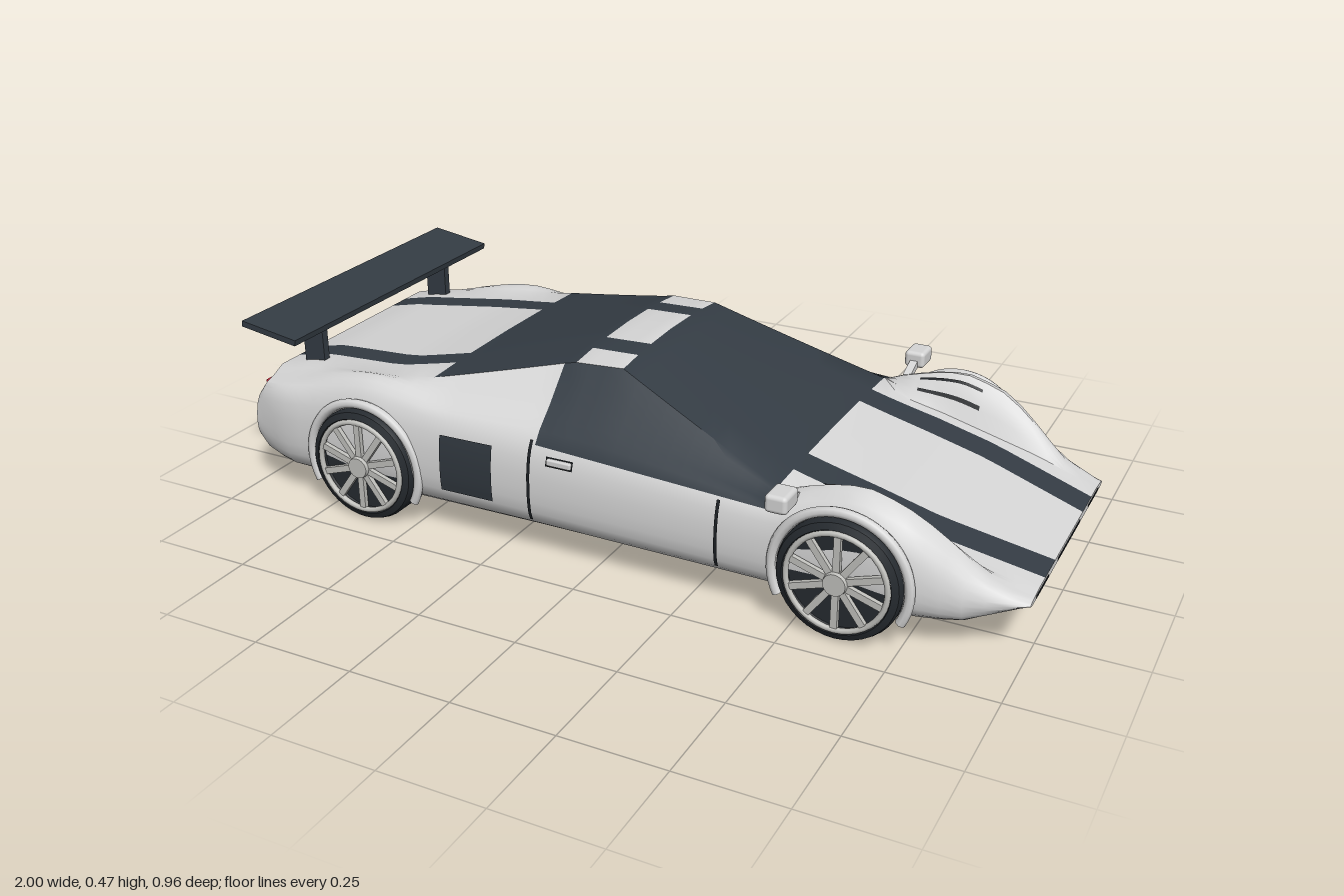
import * as THREE from 'three';
import { toCreasedNormals } from 'three/addons/utils/BufferGeometryUtils.js';
import { RoundedBoxGeometry } from 'three/addons/geometries/RoundedBoxGeometry.js';

const mat = (name, color, side = THREE.FrontSide) =>
  Object.assign(new THREE.MeshStandardMaterial({ color, side }), { name });
const paint = mat('silver paint', 0xd6d6d6);
const dark = mat('dark glass and stripes', 0x343c44);
const trim = mat('black trim', 0x1b1f23, THREE.DoubleSide);
const panel = mat('dark vent', 0x30373e, THREE.DoubleSide);
const rubber = mat('tyre rubber', 0x262b30);
const alloy = mat('alloy', 0xc2c2be);
const red = mat('red lamp', 0xc8283c);

// A value that changes along the car through a few [x, value] points
const along = (...keys) => (x) => {
  let i = 0;
  while (i < keys.length - 2 && keys[i + 1][0] < x) i++;
  const [x0, v0] = keys[i], [x1, v1] = keys[i + 1];
  return v0 + (v1 - v0) * THREE.MathUtils.clamp((x - x0) / (x1 - x0), 0, 1);
};
// A hump between two x positions
const hump = (x, x0, x1, height) =>
  x > x0 && x < x1 ? height * Math.sin(Math.PI * (x - x0) / (x1 - x0)) ** 0.8 : 0;

const deckY = along([-.985, .275], [-.96, .305], [-.87, .325], [-.62, .35], [-.47, .378],
  [-.12, .461], [0, .465], [.43, .295], [1, .142]);
const deckZ = along([-.985, .3], [-.47, .33], [-.15, .255], [0, .245], [.43, .34], [.49, .285], [.85, .285], [1, .26]);
const shoulderY = along([-.985, .24], [-.96, .27], [-.62, .325], [-.47, .305], [.43, .262],
  [.64, .295], [.75, .262], [.88, .17], [1, .137]);
const sideZ = along([-.985, .39], [-.87, .418], [-.62, .425], [-.15, .418], [.75, .422], [1, .325]);
const bottomY = along([-.985, .11], [-.96, .08], [-.9, .065], [.86, .065], [1, .125]);
const stripeZ = along([-.85, .17], [-.62, .195], [-.47, .17], [-.15, .108], [0, .107], [.43, .165], [.75, .165], [1, .125]);

const SUB = 3;
const X0 = -.985, X1 = 1;

// Half section from the top centre, over the side, to the bottom centre, as [z, y]
function halfSection(x) {
  const yC = deckY(x), zE = deckZ(x), yE = yC - hump(x, -.62, .6, .015);
  const zW = sideZ(x), zS = zW * .955, yS = shoulderY(x), yB = bottomY(x), h = yS - yB;
  const zF = (zE + zS) / 2;
  const yF = (yE + yS) / 2 + hump(x, .43, .92, .07) + hump(x, -.85, -.45, .024);
  const zA = stripeZ(x), zB = zA + .065 + .02 * THREE.MathUtils.clamp(x / .43, 0, 1);
  const crown = (z) => yC + (yE - yC) * (z / zE) ** 2;
  const curve = new THREE.CatmullRomCurve3([
    [zE, yE], [zF, yF], [zS, yS], [zW, yB + h * .5], [zW - .012, yB + h * .15], [zW - .055, yB],
  ].map(([z, y]) => new THREE.Vector3(0, y, z)));
  return [[0, yC], [zA, crown(zA)], [zB, crown(zB)],
    ...curve.getPoints(5 * SUB).map((p) => [p.z, p.y]), [0, yB]];
}

// Lofted body with fixed rows where the colours change
function buildBody() {
  const xs = [X0];
  for (const end of [-.96, -.87, -.47, -.15, -.12, 0, .43, X1]) {
    const start = xs[xs.length - 1], steps = Math.ceil((end - start) / .045);
    for (let i = 1; i <= steps; i++) xs.push(start + (end - start) * i / steps);
  }
  const pos = [], light = [], shade = [];
  const half = halfSection(X0).length, n = half * 2 - 2, last = xs.length - 1;
  for (const x of xs) {
    const p = halfSection(x);
    for (let j = 0; j < n; j++) {
      const [z, y] = j < half ? p[j] : p[n - j];
      pos.push(x, y, j < half ? z : -z);
    }
  }
  const isDark = (x, k) => {
    if (k === 1) return true;
    if (k === 0 || k === 2) return (x > -.47 && x < -.12) || (x > 0 && x < .43);
    return k < 3 + 2 * SUB && x > -.15 && x < .43;
  };
  for (let i = 0; i < last; i++) {
    const x = (xs[i] + xs[i + 1]) / 2;
    for (let j = 0; j < n; j++) {
      const k = j < half - 1 ? j : n - 1 - j;
      const a = i * n + j, b = i * n + (j + 1) % n, c = a + n, d = b + n;
      (isDark(x, k) ? shade : light).push(a, b, d, a, d, c);
    }
  }
  // Tail and nose caps
  const tail = pos.length / 3, nose = tail + 1;
  pos.push(X0, .19, 0, X1, .134, 0);
  for (let j = 0; j < n; j++) {
    const j2 = (j + 1) % n;
    light.push(tail, j2, j, nose, last * n + j, last * n + j2);
  }
  const g = new THREE.BufferGeometry();
  g.setAttribute('position', new THREE.Float32BufferAttribute(pos, 3));
  g.setIndex([...light, ...shade]);
  g.addGroup(0, light.length, 0);
  g.addGroup(light.length, shade.length, 1);
  return toCreasedNormals(g, 0.6);
}

// Body surface at x: side z for a height (axis 1) or top y for a z (axis 0)
function lookup(x, axis, value) {
  const p = halfSection(x);
  for (let k = axis ? 3 + SUB : 0; k < p.length - 1; k++) {
    const t = (value - p[k][axis]) / (p[k + 1][axis] - p[k][axis]);
    if (t >= 0 && t <= 1) return THREE.MathUtils.lerp(p[k][1 - axis], p[k + 1][1 - axis], t);
  }
  return p[3 + SUB][1 - axis];
}

// Thin skin following the body: axis 1 spans heights on the side, axis 0 spans z on top
function skin(axis, x0, x1, a0, a1) {
  const g = new THREE.PlaneGeometry(1, 1, 8, 10), p = g.attributes.position;
  for (let i = 0; i < p.count; i++) {
    const x = x0 + (x1 - x0) * (p.getX(i) + .5), v = a0 + (a1 - a0) * (p.getY(i) + .5);
    const w = lookup(x, axis, v) + .004;
    p.setXYZ(i, x, axis ? v : w, axis ? w : v);
  }
  g.computeVertexNormals();
  return g;
}

function add(parent, name, geo, material, x = 0, y = 0, z = 0) {
  const m = new THREE.Mesh(geo, material);
  m.name = name;
  m.position.set(x, y, z);
  parent.add(m);
  return m;
}

function buildWheel() {
  const w = new THREE.Group();
  w.name = 'wheel';
  const profile = [[0, -.065], [.125, -.065], [.14, -.058], [.145, -.045], [.145, .045],
    [.14, .058], [.125, .065], [.116, .045], [0, .045]].map((p) => new THREE.Vector2(...p));
  const tyre = toCreasedNormals(new THREE.LatheGeometry(profile, 40).rotateX(Math.PI / 2), 0.7);
  add(w, 'tyre', tyre, rubber);
  add(w, 'rim', new THREE.TorusGeometry(.116, .007, 8, 40), alloy, 0, 0, .062);
  for (let i = 0; i < 10; i++) {
    const spoke = new THREE.BoxGeometry(.016, .095, .012).translate(0, .066, 0);
    add(w, 'spoke', spoke, alloy, 0, 0, .06).rotation.z = i * Math.PI / 5;
  }
  add(w, 'hub', new THREE.CylinderGeometry(.026, .03, .02, 20).rotateX(Math.PI / 2), alloy, 0, 0, .065);
  return w;
}

function buildSide() {
  const side = new THREE.Group();
  for (const x of [-.63, .61]) {
    const wheel = buildWheel();
    wheel.position.set(x, .145, .375);
    side.add(wheel);
    // Wheel arch lip
    const lip = new THREE.TorusGeometry(.158, .012, 8, 40, Math.PI * 1.3).rotateZ(-Math.PI * .15);
    add(side, 'wheelArch', lip, paint, x, .145, .418);
  }
  // Door gaps, side vent and handle
  for (const x of [-.16, .32]) add(side, 'doorGap', skin(1, x - .004, x + .004, .1, x < 0 ? .3 : .262), trim);
  add(side, 'sideVent', skin(1, -.403, -.26, .128, .27), panel);
  add(side, 'handleRecess', skin(1, -.115, -.045, .25, .272), trim);
  add(side, 'doorHandle', new RoundedBoxGeometry(.064, .016, .014, 2, .004), paint, -.08, .261, lookup(-.08, 1, .261) + .004);
  // Mirror
  add(side, 'mirror', new RoundedBoxGeometry(.052, .042, .07, 3, .01), paint, .483, .319, .446);
  add(side, 'mirrorStem', new THREE.BoxGeometry(.02, .018, .07), paint, .483, .302, .395).rotation.x = -.35;
  // Fender louvres
  for (const z of [.302, .322]) add(side, 'louvre', skin(0, .53, .69, z + .005, z), trim);
  // Nose intake, tail lamp and wing support
  add(side, 'noseIntake', new THREE.BoxGeometry(.008, .007, .1), trim, .997, .131, .23);
  add(side, 'tailLamp', new THREE.BoxGeometry(.016, .022, .14), red, -.986, .254, .26);
  add(side, 'wingSupport', new THREE.BoxGeometry(.06, .13, .02), dark, -.87, .375, .27);
  return side;
}

export function createModel() {
  const car = new THREE.Group();
  car.name = 'sportsCar';
  add(car, 'body', buildBody(), [paint, dark]);

  const left = buildSide(), right = buildSide();
  left.name = 'rightSide';
  right.name = 'leftSide';
  right.scale.z = -1;
  car.add(left, right);

  // Rear wing
  add(car, 'rearWing', new THREE.BoxGeometry(.162, .015, .84), dark, -.89, .441, 0).rotation.z = -.15;

  // Tail panel, centre plate and nose slot
  const hex = new THREE.Shape([[-.34, .19], [-.3, .135], [.3, .135], [.34, .19], [.32, .238], [-.32, .238]]
    .map((p) => new THREE.Vector2(...p)));
  const tail = new THREE.ExtrudeGeometry(hex, { depth: .008, bevelEnabled: false }).rotateY(-Math.PI / 2);
  add(car, 'tailPanel', tail, trim, -.984, 0, 0);
  add(car, 'tailPlate', new THREE.BoxGeometry(.008, .035, .1), alloy, -.993, .195, 0);
  add(car, 'centreIntake', new THREE.BoxGeometry(.008, .007, .2), trim, .997, .131, 0);
  return car;
}
